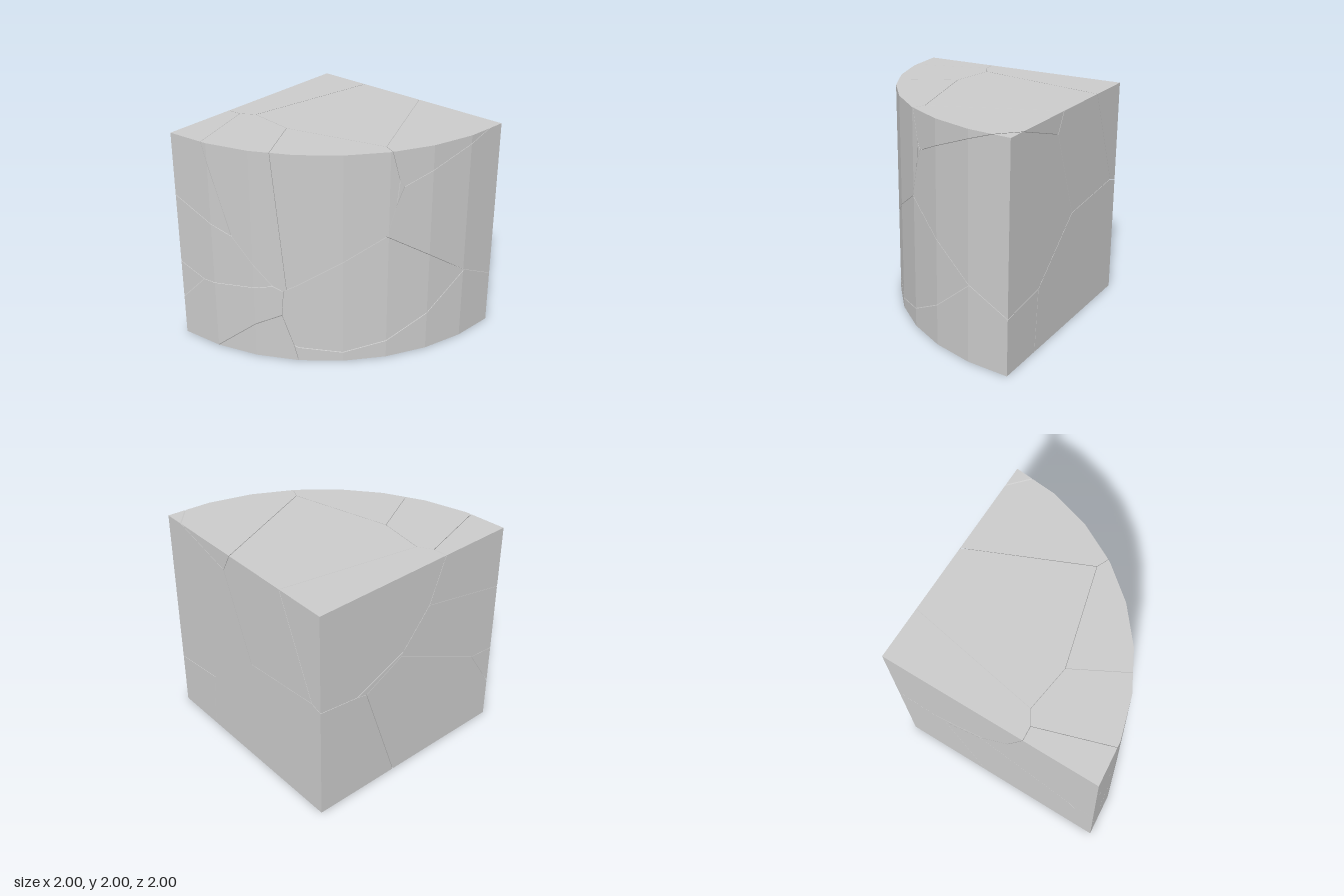
import * as THREE from 'three';

const HEIGHT = 2, RADIUS = 2, SEGMENTS = 8, HALF_GAP = 0.002;
const v = (x, y, z) => new THREE.Vector3(x, y, z);

// One seed per fragment: every fragment is the part of the block nearest its seed
const SEEDS = {
  topCentre: [0.25, 1.92, -0.12],
  topFront: [0.6, 2.36, 0.7],
  frontCorner: [0.87, 1.485, 0.953],
  lowerBack: [0.707, -0.05, -0.296],
  lowerFront: [0.161, 0.034, 0.786],
  topCurvedFront: [-0.66, 1.99, 0.126],
  topBack: [0.425, 2.32, -1.065],
  topCurvedBack: [-0.87, 1.95, -0.27],
  topBackCorner: [-1.085, 1.734, -0.953],
  curvedMiddle: [-0.047, 0.21, 0.983],
  backMiddle: [-0.973, 1.174, -1.213],
  lowerBackCorner: [-0.58, 0.375, -1.24],
  lowerCurvedWedge: [-1.58, -0.41, -0.25],
  backEdgeChip: [-0.92, 0.59, -1.43],
};

// Quarter cylinder as a list of outward-facing polygons
function quarterCylinder() {
  const ring = [[1, -1]];
  for (let i = 0; i <= SEGMENTS; i++) {
    const t = (i / SEGMENTS) * Math.PI / 2;
    ring.push([1 - RADIUS * Math.cos(t), -1 + RADIUS * Math.sin(t)]);
  }
  const at = (i, y) => v(ring[i % ring.length][0], y, ring[i % ring.length][1]);
  const top = ring.map((_, i) => at(i, HEIGHT));
  const bottom = ring.map((_, i) => at(i, 0)).reverse();
  const sides = ring.map((_, i) => [at(i, 0), at(i + 1, 0), at(i + 1, HEIGHT), at(i, HEIGHT)]);
  return [top, bottom, ...sides];
}

// Keep the part of a convex solid behind a plane and close the cut
function clip(faces, plane) {
  const kept = [], cut = [];
  for (const face of faces) {
    const out = [];
    face.forEach((a, i) => {
      const b = face[(i + 1) % face.length];
      const da = plane.distanceToPoint(a), db = plane.distanceToPoint(b);
      if (da <= 0) out.push(a);
      if ((da <= 0) !== (db <= 0)) {
        const p = a.clone().lerp(b, da / (da - db));
        out.push(p);
        if (da <= 0) cut.push(p);
      }
    });
    if (out.length > 2) kept.push(out);
  }
  if (cut.length > 2) {
    const n = plane.normal;
    const centre = cut.reduce((s, p) => s.add(p), v(0, 0, 0)).divideScalar(cut.length);
    const u = (Math.abs(n.y) < 0.9 ? v(0, 1, 0) : v(1, 0, 0)).cross(n).normalize();
    const w = n.clone().cross(u);
    const angle = (p) => {
      const d = p.clone().sub(centre);
      return Math.atan2(d.dot(w), d.dot(u));
    };
    kept.push(cut.sort((p, q) => angle(p) - angle(q)));
  }
  return kept;
}

// Fan-triangulate the polygons with flat normals
function toGeometry(faces) {
  const points = [];
  for (const f of faces)
    for (let i = 1; i < f.length - 1; i++) points.push(f[0], f[i], f[i + 1]);
  const geometry = new THREE.BufferGeometry().setFromPoints(points);
  geometry.computeVertexNormals();
  return geometry;
}

export function createModel() {
  const model = new THREE.Group();
  model.name = 'fracturedQuarterCylinder';
  const material = new THREE.MeshStandardMaterial({ color: 0xcccccc, flatShading: true });

  for (const [name, seed] of Object.entries(SEEDS)) {
    const own = v(...seed);
    let faces = quarterCylinder();
    for (const [otherName, otherSeed] of Object.entries(SEEDS)) {
      if (otherName === name) continue;
      // Plane halfway to the neighbour, pulled back to leave a hairline crack
      const other = v(...otherSeed);
      const normal = other.clone().sub(own).normalize();
      const middle = own.clone().lerp(other, 0.5).addScaledVector(normal, -HALF_GAP);
      faces = clip(faces, new THREE.Plane().setFromNormalAndCoplanarPoint(normal, middle));
    }
    if (!faces.length) continue;
    const fragment = new THREE.Mesh(toGeometry(faces), material);
    fragment.name = name + 'Fragment';
    model.add(fragment);
  }
  return model;
}
